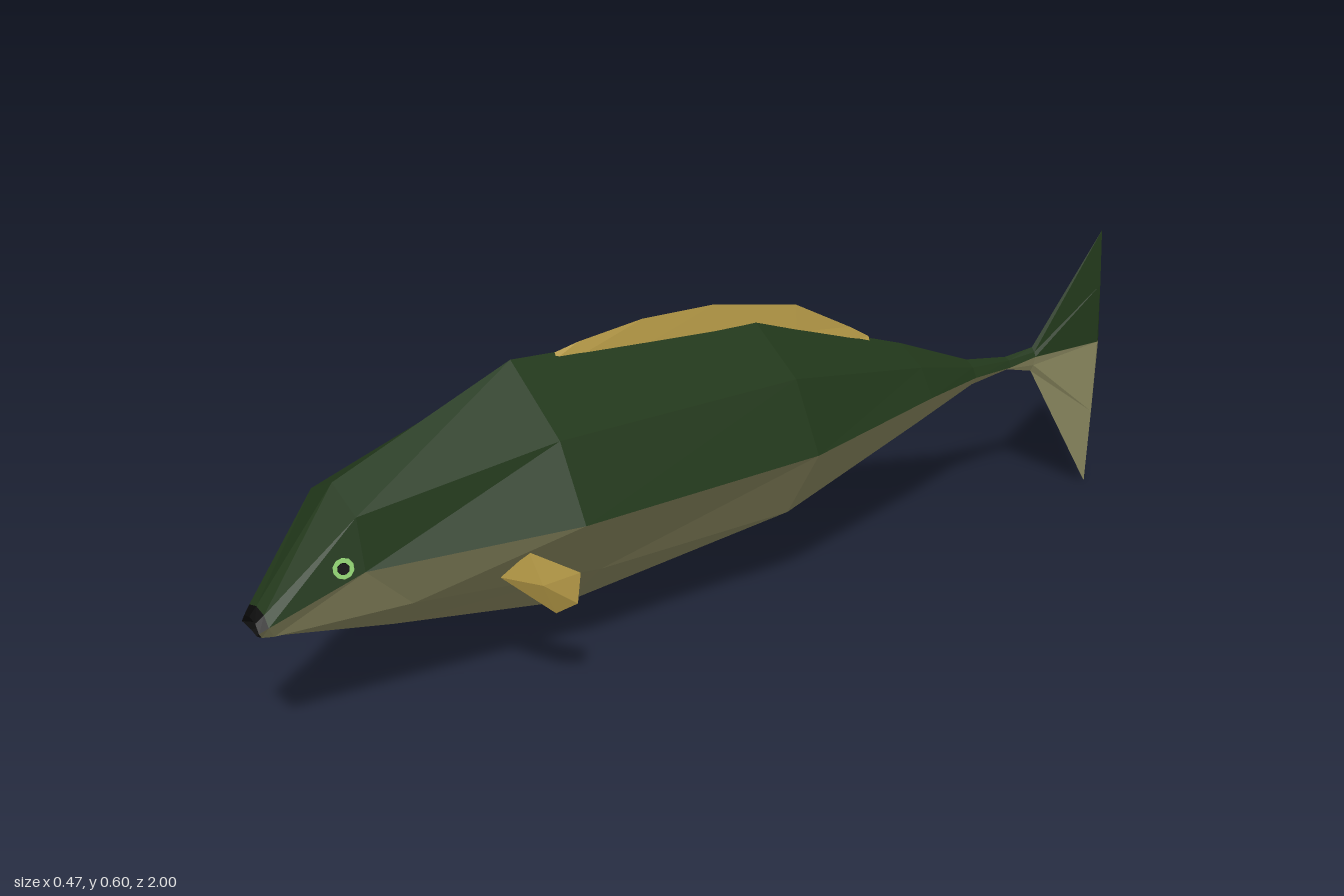
import * as THREE from 'three';

const GREEN = 0x21371a, CREAM = 0x87855d, GOLD = 0xb89c48, BLACK = 0x080808, IRIS = 0x8fd070;

function mesh(name, geometry, color) {
  const material = new THREE.MeshStandardMaterial({ color, flatShading: true, side: THREE.DoubleSide });
  const m = new THREE.Mesh(geometry, material);
  m.name = name;
  return m;
}

function facets(triangles) {
  const g = new THREE.BufferGeometry();
  g.setAttribute('position', new THREE.Float32BufferAttribute(triangles.flat(2), 3));
  g.computeVertexNormals();
  return g;
}

// Cross-section: ridge, shoulder, side, lower flank, keel, then back up the other side
function ring([zTop, zBot, cx, xR, xL, fs, fl, yTop, ySh, ySide, yLow, yBot]) {
  const x = (edge, f) => cx + (edge - cx) * f;
  return [
    [cx, yTop, zTop], [x(xL, fs), ySh, zTop], [xL, ySide, zTop], [x(xL, fl), yLow, zBot],
    [cx, yBot, zBot], [x(xR, fl), yLow, zBot], [xR, ySide, zTop], [x(xR, fs), ySh, zTop],
  ];
}

// Facets between successive rings, for ring points k = from .. from + count
function loft(rings, from, count) {
  const tris = [];
  for (let i = 0; i + 1 < rings.length; i++) {
    for (let n = 0; n < count; n++) {
      const k = (from + n) % 8, l = (k + 1) % 8;
      const a = rings[i][k], b = rings[i][l], c = rings[i + 1][k], d = rings[i + 1][l];
      tris.push([a, b, c], [b, d, c]);
    }
  }
  return tris;
}

function cap(r, center, from, count, facesFront) {
  const tris = [];
  for (let n = 0; n < count; n++) {
    const a = r[(from + n) % 8], b = r[(from + n + 1) % 8];
    tris.push(facesFront ? [center, b, a] : [center, a, b]);
  }
  return tris;
}

// Pectoral fin: a slightly domed fan around its middle
function fan(points, bulge) {
  const mid = [0, 1, 2].map(i => points.reduce((s, p) => s + p[i], 0) / points.length);
  mid[2] += bulge;
  return facets(points.map((p, i) => [mid, p, points[(i + 1) % points.length]]));
}

function eye(name, position, normal) {
  const g = new THREE.Group();
  g.name = name;
  const iris = mesh('iris', new THREE.CylinderGeometry(0.018, 0.021, 0.008, 10), IRIS);
  const pupil = mesh('pupil', new THREE.CylinderGeometry(0.01, 0.011, 0.004, 8), BLACK);
  pupil.position.y = 0.005;
  g.add(iris, pupil);
  g.position.set(...position);
  g.quaternion.setFromUnitVectors(new THREE.Vector3(0, 1, 0), new THREE.Vector3(...normal).normalize());
  return g;
}

export function createModel() {
  const fish = new THREE.Group();
  fish.name = 'fish';

  // zTop, zBot, cx, xRight, xLeft, shoulder and flank width, then heights from ridge to keel
  const rings = [
    [1, 0.99, 0.042, 0.012, 0.073, 0.65, 0.6, 0.278, 0.273, 0.258, 0.243, 0.238],
    [0.985, 0.97, 0.04, 0, 0.08, 0.65, 0.65, 0.292, 0.285, 0.267, 0.241, 0.231],
    [0.82, 0.72, 0.018, -0.08, 0.115, 0.79, 0.75, 0.462, 0.425, 0.333, 0.235, 0.166],
    [0.44, 0.33, -0.013, -0.235, 0.21, 0.67, 0.48, 0.585, 0.478, 0.343, 0.185, 0.078],
    [-0.1, -0.1, 0.003, -0.185, 0.2, 0.65, 0.55, 0.55, 0.465, 0.332, 0.185, 0.15],
    [-0.48, -0.48, 0.012, -0.08, 0.11, 0.65, 0.6, 0.42, 0.385, 0.33, 0.265, 0.255],
    [-0.67, -0.67, 0.014, -0.018, 0.045, 0.65, 0.6, 0.342, 0.33, 0.31, 0.292, 0.285],
    [-0.78, -0.78, 0.02, 0.005, 0.038, 0.65, 0.6, 0.325, 0.32, 0.306, 0.301, 0.297],
    [-0.85, -0.85, 0.03, 0.018, 0.042, 0.65, 0.6, 0.334, 0.325, 0.315, 0.295, 0.28],
    [-0.99, -0.99, 0.08, 0.071, 0.089, 0.7, 0.7, 0.58, 0.46, 0.332, 0.17, 0.003],
  ].map(ring);

  // Body in two colours, with dark lips and a recessed mouth
  const body = rings.slice(0, 9);
  fish.add(mesh('back', facets(loft(body.slice(1), 6, 4)), GREEN));
  fish.add(mesh('belly', facets(loft(body, 2, 4)), CREAM));
  const lips = loft(body.slice(0, 2), 6, 4);
  fish.add(mesh('mouth', facets([...lips, ...cap(rings[0], [0.042, 0.256, 0.968], 0, 8, true)]), BLACK));

  // Tail fin
  const tail = rings.slice(8), tailEnd = [0.083, 0.332, -1];
  const tailHalf = from => facets([...loft(tail, from, 4), ...cap(tail[1], tailEnd, from, 4, false)]);
  fish.add(mesh('upperTailFin', tailHalf(6), GREEN));
  fish.add(mesh('lowerTailFin', tailHalf(2), CREAM));

  // Dorsal fin: z, x, base height, crest height
  const crest = [
    [0.35, -0.01, 0.57, 0.58], [0.3, -0.008, 0.565, 0.59], [0.16, -0.003, 0.555, 0.605],
    [0, 0.002, 0.545, 0.6], [-0.2, 0.006, 0.505, 0.56], [-0.34, 0.009, 0.455, 0.485], [-0.39, 0.01, 0.44, 0.455],
  ].map(([z, x, y0, y1]) => ({ l: [x + 0.009, y0, z], r: [x - 0.009, y0, z], t: [x + 0.003, y1, z] }));
  const dorsal = [];
  for (let i = 0; i + 1 < crest.length; i++) {
    const a = crest[i], b = crest[i + 1];
    dorsal.push([a.t, a.l, b.t], [a.l, b.l, b.t], [a.r, a.t, b.r], [a.t, b.t, b.r]);
  }
  fish.add(mesh('dorsalFin', facets(dorsal), GOLD));

  // Pectoral fins, posed differently on each side
  fish.add(mesh('leftPectoralFin', fan([
    [0.125, 0.25, 0.565], [0.183, 0.18, 0.49], [0.225, 0.21, 0.472], [0.233, 0.272, 0.47], [0.165, 0.303, 0.53],
  ], 0.012), GOLD));
  fish.add(mesh('rightPectoralFin', fan([
    [-0.16, 0.288, 0.58], [-0.182, 0.25, 0.56], [-0.148, 0.193, 0.53], [-0.105, 0.18, 0.5], [-0.115, 0.225, 0.54],
  ], 0.012), GOLD));

  fish.add(eye('leftEye', [0.1, 0.344, 0.853], [0.92, 0.2, 0.34]));
  fish.add(eye('rightEye', [-0.048, 0.344, 0.865], [-0.82, 0.18, 0.54]));
  return fish;
}
